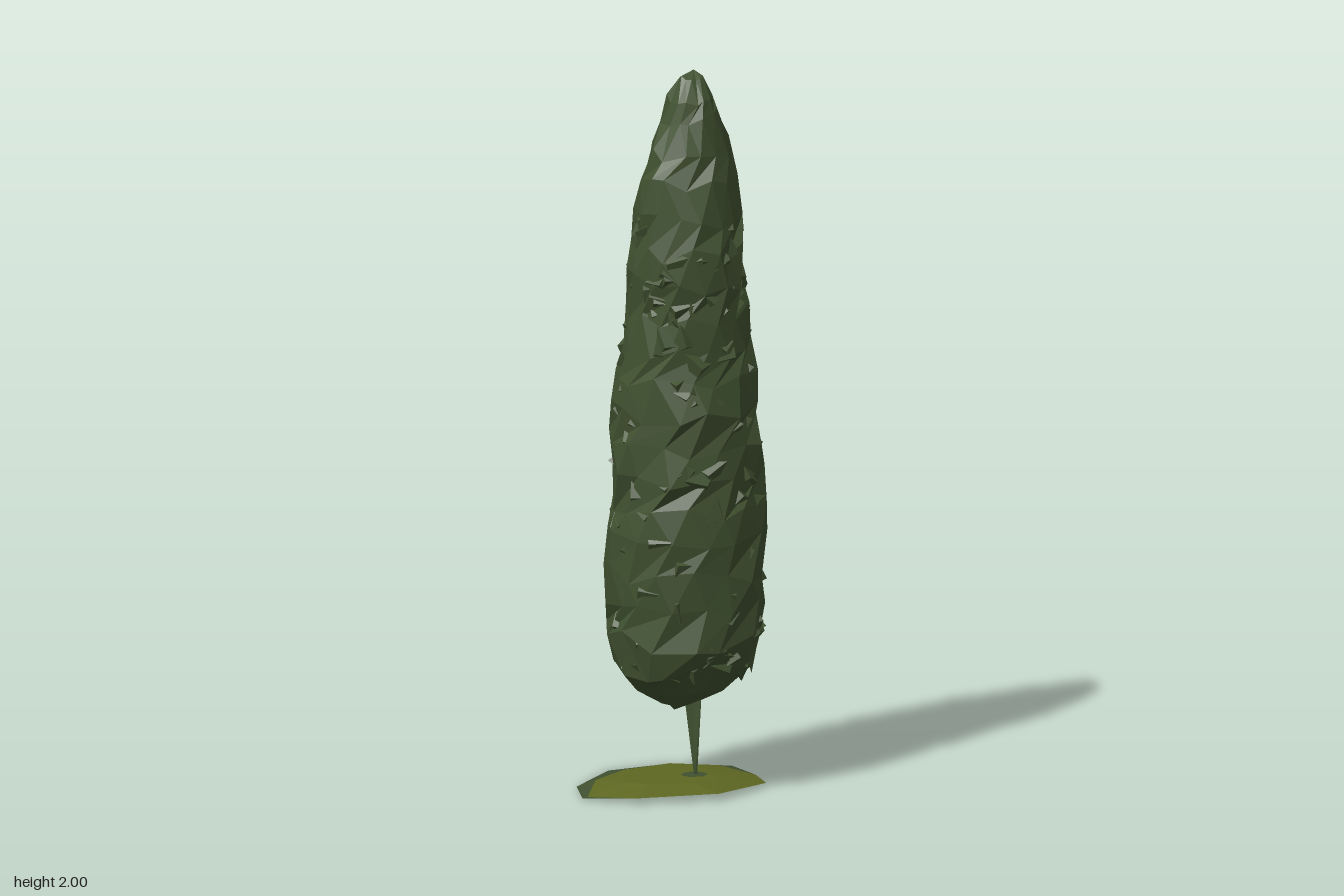
import * as THREE from 'three';
import { mergeGeometries } from 'three/addons/utils/BufferGeometryUtils.js';

// Small seeded random source, returns -1..1
let seed = 7;
function rnd() {
  seed = (seed * 16807) % 2147483647;
  return (seed / 2147483647) * 2 - 1;
}

// Facetted geometry from a list of triangle corners
function facets(points) {
  const g = new THREE.BufferGeometry().setFromPoints(points);
  g.computeVertexNormals();
  return g;
}

// Triangles between two loops of equal length, skipping collapsed ones
function strip(out, a, b) {
  const add = (p, q, r) => {
    if (p.distanceTo(q) > 1e-4 && q.distanceTo(r) > 1e-4 && r.distanceTo(p) > 1e-4) out.push(p, q, r);
  };
  for (let i = 0; i < a.length; i++) {
    const k = (i + 1) % a.length;
    add(a[i], b[i], a[k]);
    add(a[k], b[i], b[k]);
  }
}

// Crown outline: y, min x, max x, min z, max z
const OUTLINE = [
  [0.24, -0.03, 0.08, -0.03, 0.07], [0.28, -0.09, 0.15, -0.10, 0.13],
  [0.35, -0.155, 0.22, -0.165, 0.20], [0.45, -0.17, 0.255, -0.195, 0.24],
  [0.60, -0.175, 0.26, -0.19, 0.24], [0.80, -0.17, 0.26, -0.185, 0.235],
  [1.00, -0.16, 0.25, -0.18, 0.22], [1.20, -0.142, 0.235, -0.165, 0.205],
  [1.35, -0.11, 0.21, -0.145, 0.19], [1.45, -0.115, 0.195, -0.135, 0.195],
  [1.65, -0.10, 0.19, -0.105, 0.17], [1.80, -0.06, 0.165, -0.07, 0.135],
  [1.93, -0.01, 0.11, -0.035, 0.095], [1.98, 0.03, 0.095, -0.02, 0.05],
];

function sectionAt(y) {
  let i = 0;
  while (i < OUTLINE.length - 2 && OUTLINE[i + 1][0] < y) i++;
  const a = OUTLINE[i], b = OUTLINE[i + 1];
  const t = THREE.MathUtils.clamp((y - a[0]) / (b[0] - a[0]), 0, 1);
  const [, x0, x1, z0, z1] = a.map((v, n) => v + (b[n] - v) * t);
  return { cx: (x0 + x1) / 2, cz: (z0 + z1) / 2, rx: (x1 - x0) / 2, rz: (z1 - z0) / 2 };
}

function onCrown(y, angle, grow) {
  const s = sectionAt(y);
  return new THREE.Vector3(s.cx + Math.cos(angle) * s.rx * grow, y, s.cz + Math.sin(angle) * s.rz * grow);
}

// Rough, facetted column of foliage
function foliageShell() {
  const sides = 14, rings = [], pts = [];
  const heights = [0.24, 0.28, 0.35];
  for (let y = 0.44; y < 1.9; y += 0.09) heights.push(y);
  heights.push(1.93, 1.98);
  heights.forEach((y, j) => {
    const rough = j < 2 || y > 1.9 ? 0.012 : 0.026;
    const ring = [];
    for (let i = 0; i < sides; i++) {
      const a = ((i + (j % 2) * 0.5 + rnd() * 0.25) / sides) * Math.PI * 2;
      const p = onCrown(y, a, 1 + rnd() * 0.05);
      p.y += rnd() * rough;
      ring.push(p);
    }
    rings.push(ring);
  });
  for (let j = 0; j < rings.length - 1; j++) strip(pts, rings[j], rings[j + 1]);
  // close both ends
  const low = new THREE.Vector3(0.02, 0.225, 0.02), high = new THREE.Vector3(0.075, 2, 0.01);
  for (let i = 0; i < sides; i++) {
    const k = (i + 1) % sides;
    pts.push(low, rings[0][i], rings[0][k]);
    pts.push(high, rings.at(-1)[k], rings.at(-1)[i]);
  }
  return facets(pts);
}

// Flat three-sided tufts breaking up the foliage surface
function foliageTufts() {
  const list = [], up = new THREE.Vector3(0, 1, 0);
  for (let n = 0; n < 190; n++) {
    const y = 0.33 + 1.3 * Math.pow((rnd() + 1) / 2, 1.15);
    const a = n * 2.39996;
    const p = onCrown(y, a, 0.96);
    const out = new THREE.Vector3(Math.cos(a) + rnd() * 0.35, rnd() * 0.4, Math.sin(a) + rnd() * 0.35).normalize();
    const r = 0.045 + rnd() * 0.018;
    const g = new THREE.ConeGeometry(r, 0.028, 3).toNonIndexed();
    g.deleteAttribute('uv');
    g.rotateY(rnd() * Math.PI);
    g.applyQuaternion(new THREE.Quaternion().setFromUnitVectors(up, out));
    g.translate(p.x, p.y, p.z);
    g.computeVertexNormals();
    list.push(g);
  }
  return mergeGeometries(list);
}

// Thin trunk tapering down to a point
function trunkGeometry() {
  const low = [], high = [], pts = [];
  for (let i = 0; i < 5; i++) {
    const a = (i / 5) * Math.PI * 2;
    low.push(new THREE.Vector3(0.065 + Math.cos(a) * 0.005, 0.036, 0.04 + Math.sin(a) * 0.006));
    high.push(new THREE.Vector3(0.067 + Math.cos(a) * 0.018, 0.34, 0.01 + Math.sin(a) * 0.06));
  }
  strip(pts, low, high);
  return facets(pts);
}

// Shallow ground mound: grass border, dry middle, green spot at the trunk
function addMound(group, green, dry) {
  const v = ([x, y, z]) => new THREE.Vector3(x, y, z);
  const rim = [
    [-0.282, 0.005, 0.03], [-0.222, 0.003, -0.112], [-0.045, 0, -0.256], [0.12, 0, -0.253], [0.272, 0.004, -0.13],
    [0.262, 0.01, 0.02], [0.235, 0.012, 0.13], [0.04, 0.02, 0.218], [-0.18, 0.016, 0.145],
  ].map(v);
  const inset = [
    [-0.268, 0.008, 0.035], [-0.178, 0.022, -0.085], [-0.05, 0.022, -0.16], [0.1, 0.022, -0.17], [0.215, 0.018, -0.1],
  ].map(v);
  const seam = rim.map((p, i) => inset[i] || p);
  const top = rim.map((p) => new THREE.Vector3(-0.01 + p.x * 0.5, 0.035, 0.015 + p.z * 0.5));
  const spot = rim.map((p) => {
    const a = Math.atan2(p.z, p.x);
    return new THREE.Vector3(0.06 + Math.cos(a) * 0.036, 0.037, 0.04 + Math.sin(a) * 0.036);
  });
  const centre = spot.map(() => new THREE.Vector3(0.06, 0.038, 0.04));
  const border = [], middle = [], patch = [];
  strip(border, rim, seam);
  strip(middle, seam, top);
  strip(middle, top, spot);
  strip(patch, spot, centre);
  const parts = [['grassBorder', border, green], ['dryGround', middle, dry], ['trunkSpot', patch, green]];
  for (const [name, pts, material] of parts) {
    // loops run so that reversing each triangle is not needed for upward faces
    const mesh = new THREE.Mesh(facets(pts), material);
    mesh.name = name;
    group.add(mesh);
  }
}

export function createModel() {
  seed = 7;
  const leafGreen = new THREE.MeshStandardMaterial({ color: 0x405130 });
  leafGreen.name = 'leaf green';
  leafGreen.side = THREE.DoubleSide;
  const dryOlive = new THREE.MeshStandardMaterial({ color: 0x5e6722 });
  dryOlive.name = 'dry olive';
  dryOlive.side = THREE.DoubleSide;

  const tree = new THREE.Group();
  tree.name = 'columnTree';
  const parts = [['foliage', foliageShell()], ['foliageTufts', foliageTufts()], ['trunk', trunkGeometry()]];
  for (const [name, geometry] of parts) {
    const mesh = new THREE.Mesh(geometry, leafGreen);
    mesh.name = name;
    tree.add(mesh);
  }
  const mound = new THREE.Group();
  mound.name = 'groundMound';
  addMound(mound, leafGreen, dryOlive);
  tree.add(mound);
  return tree;
}
